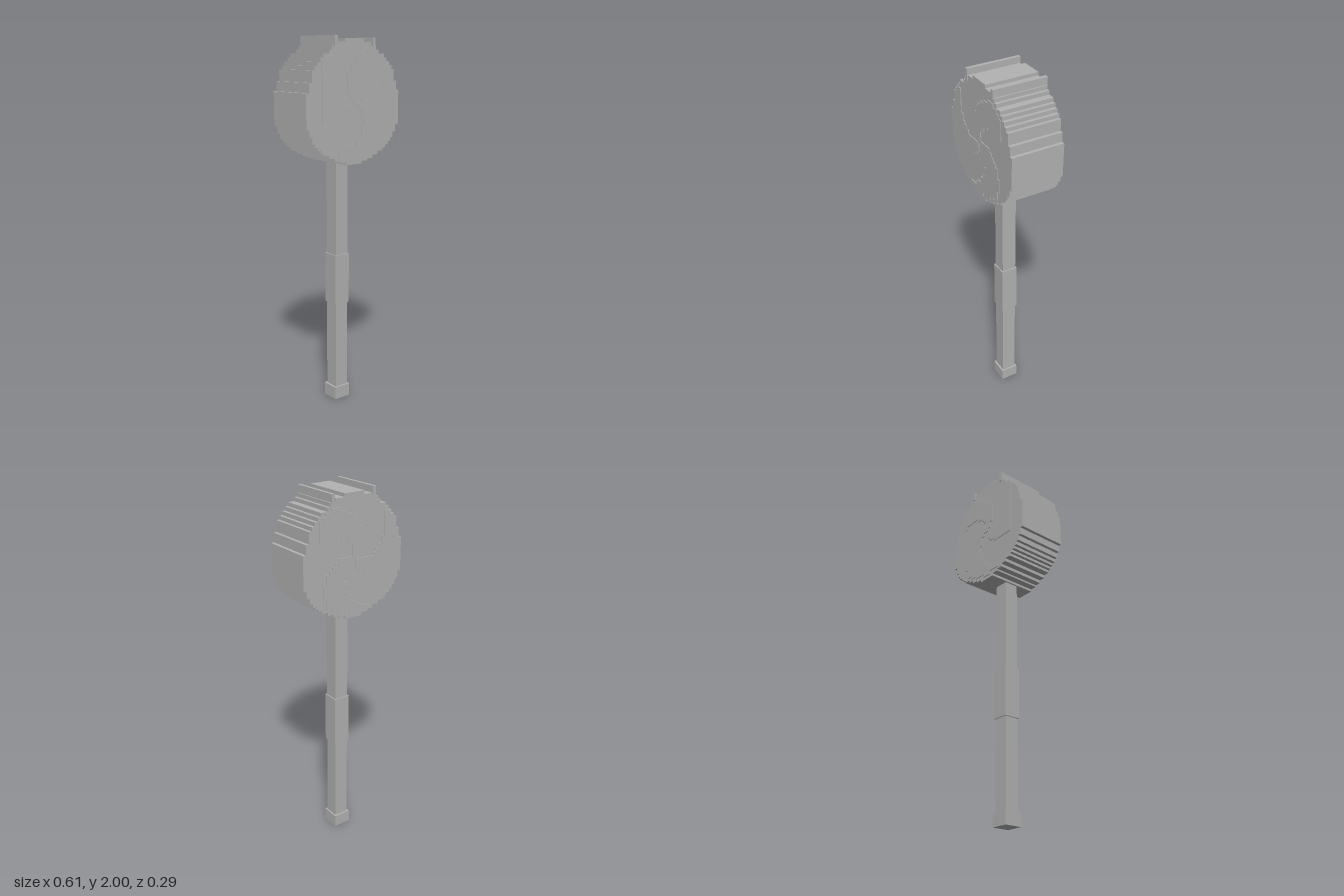
import * as THREE from 'three';

export function createModel() {
  const model = new THREE.Group();
  const stone = new THREE.MeshStandardMaterial({ color: 0xb2b2b2 });
  stone.name = 'plain grey';

  const add = (name, geometry, x = 0, y = 0, z = 0, parent = model) => {
    const mesh = new THREE.Mesh(geometry, stone);
    mesh.name = name;
    mesh.position.set(x, y, z);
    parent.add(mesh);
    return mesh;
  };
  // Box given by its x, y and z ranges
  const block = (name, x0, x1, y0, y1, z0, z1, parent) =>
    add(name, new THREE.BoxGeometry(x1 - x0, y1 - y0, z1 - z0),
      (x0 + x1) / 2, (y0 + y1) / 2, (z0 + z1) / 2, parent);

  // Square handle with a grip sleeve and an end cap
  block('handle', -0.041, 0.039, 0.07, 1.35, -0.04, 0.04);
  block('gripSleeve', -0.047, 0.045, 0.56, 0.84, -0.046, 0.046);
  block('endCap', -0.052, 0.048, 0, 0.07, -0.05, 0.05);

  // Stepped round head: [distance from the middle, height of that step]
  const upper = [[0.303, 1.72], [0.285, 1.77], [0.267, 1.83], [0.25, 1.85], [0.232, 1.87],
    [0.214, 1.89], [0.197, 1.91], [0.16, 1.93], [0.143, 1.95], [0.109, 1.967], [0.06, 1.985]];
  const lower = [[0.303, 1.54], [0.285, 1.5], [0.267, 1.47], [0.25, 1.45], [0.232, 1.435],
    [0.214, 1.42], [0.197, 1.405], [0.16, 1.387], [0.125, 1.37], [0.09, 1.36], [0.05, 1.346]];
  const stairs = (steps, side) => steps.flatMap(([x, y], i) => {
    const next = steps[i + 1];
    const corner = [new THREE.Vector2(side * x, y)];
    if (next) corner.push(new THREE.Vector2(side * next[0], y));
    return corner;
  });
  const outline = [
    ...stairs(upper, 1), ...stairs(upper, -1).reverse(),
    ...stairs(lower, -1), ...stairs(lower, 1).reverse(),
  ];
  const zBack = -0.144, zFront = 0.142;
  add('head', new THREE.ExtrudeGeometry(new THREE.Shape(outline),
    { depth: zFront - zBack, bevelEnabled: false }), 0, 0, zBack);

  // Two narrow ridges on the crown
  block('leftRidge', 0.118, 0.136, 1.94, 1.99, -0.148, 0.146);
  block('rightRidge', -0.128, -0.11, 1.94, 2, -0.148, 0.146);

  // Raised three-armed swirl in stepped rows on both faces
  const cell = 0.018;
  const inSwirl = (x, y) => {
    const r = Math.hypot(x, y);
    if (r > 0.29 || Math.abs(x) > 0.2) return false;
    return Math.cos(3 * (Math.atan2(y, x) + r * 5)) > 0.1;
  };
  const swirl = (name, z0, z1) => {
    const group = new THREE.Group();
    group.name = name;
    for (let row = -16; row <= 16; row++) {
      let start = null;
      for (let col = -12; col <= 12; col++) {
        const filled = inSwirl(col * cell, row * cell);
        if (filled && start === null) start = col;
        if (!filled && start !== null) {
          const y = 1.662 + row * cell;
          block('swirlRow', (start - 0.5) * cell, (col - 0.5) * cell,
            y - cell / 2, y + cell / 2, z0, z1, group);
          start = null;
        }
      }
    }
    model.add(group);
  };
  swirl('frontSwirl', zFront - 0.003, zFront + 0.004);
  swirl('backSwirl', zBack - 0.004, zBack + 0.003);

  return model;
}
